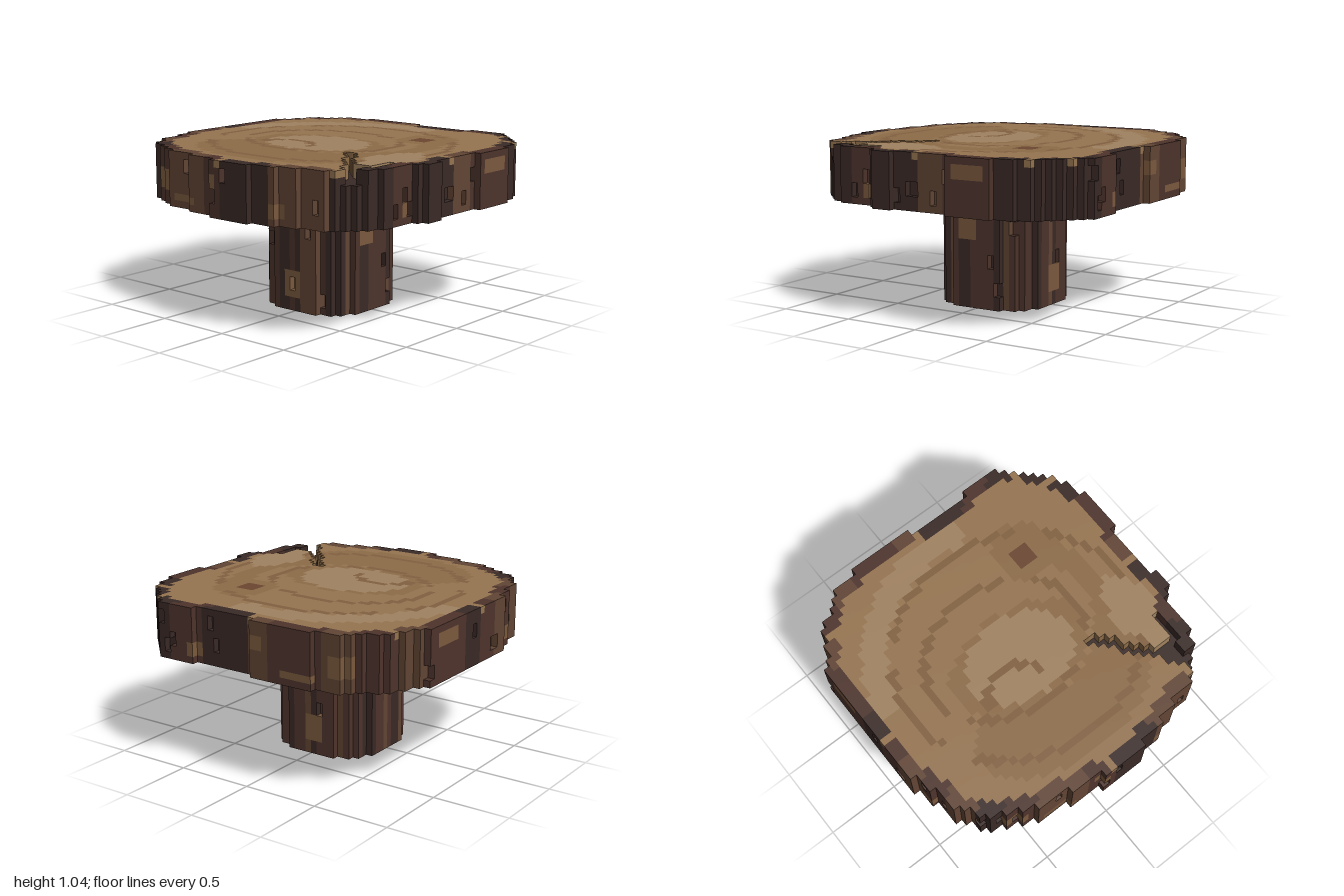
import * as THREE from 'three';

// Blocky log table on a 46 x 24 x 46 grid of cubes
const N = 46, H = 24, LEG = 16, S = 2 / N;
const COLORS = {
  darkBark: 0x3a2a26, midBark: 0x4e342c, lightBark: 0x624535, paleBark: 0x7c5a3e,
  wood: 0x967551, lightWood: 0xa08260, warmWood: 0x8d6c48, ringWood: 0x826140, knotWood: 0x6b4630,
};
const BARK = { D: 'darkBark', M: 'midBark', L: 'lightBark' };

// Slab outline as [row, cell] knots from back to front
const LEFT = [[0, 12], [1, 8], [5, 3], [8, 2], [10, 0], [29, 0], [30, 1], [36, 2], [40, 5], [43, 11], [45, 21]];
const RIGHT = [[0, 38], [4, 42], [6, 44], [12, 46], [17, 46], [18, 45], [26, 45], [27, 46], [29, 46],
  [31, 44], [36, 44], [40, 41], [42, 39], [45, 28]];

// Bark tones around the slab and the leg, from +x towards the front
const SLAB_BARK = 'DDMDDLLDDMLLMDLMLMDMMLMLMMLDDMDDDMML';
const LEG_BARK = 'MDMLDMLLDMDMMMDLDMLMDDMLMMDLMDMMLDMM';

// Bark patches: first cell, first height, width and height
const FRONT_PATCHES = [[0, 19, 2, 3], [7, 18, 3, 3], [12, 17, 5, 1], [20, 20, 2, 2], [31, 17, 2, 2], [21, 2, 3, 4], [15, 8, 2, 4]];
const SIDE_PATCHES = [[13, 17, 2, 2], [29, 21, 5, 2], [20, 10, 3, 4], [29, 10, 2, 4]];

// Wood grain: later areas win. centre x, z, radii, tone
const AREAS = [
  [0, 0.5, 0.62, 0.33, 'warmWood'], [0.5, 0, 0.2, 0.5, 'warmWood'], [-0.05, -0.03, 0.62, 0.46, 'wood'],
  [-0.02, 0.1, 0.48, 0.3, 'warmWood'], [-0.02, 0.1, 0.36, 0.27, 'lightWood'],
  [0.72, 0.3, 0.14, 0.28, 'lightWood'], [0.43, -0.44, 0.19, 0.2, 'warmWood'],
];
// Growth rings: centre x, z, radii, and the angles in degrees where they break
const RINGS = [
  { c: [0.02, 0.02], r: [0.79, 0.71], gaps: [[5, 35], [145, 160], [207, 222], [305, 318]] },
  { c: [-0.06, 0], r: [0.53, 0.41], gaps: [[35, 60], [150, 165], [300, 320]] },
  { c: [-0.16, 0.24], r: [0.19, 0.13], gaps: [[5, 180]] },
];
const CRACKS = [
  [[0.36, 0.28], [0.46, 0.32], [0.52, 0.44], [0.7, 0.62], [0.8, 0.78]],
  [[0.72, 0.64], [0.8, 0.56], [0.81, 0.42]],
];

const pos = (i) => (i + 0.5) * S - 1;
const hash = (a, b) => { const v = Math.sin(a * 127.1 + b * 311.7) * 43758.5453; return v - Math.floor(v); };
const degrees = (x, z) => (Math.atan2(z, x) * 180 / Math.PI + 360) % 360;

function edgeAt(knots, row) {
  const n = Math.max(1, knots.findIndex(([r]) => r >= row));
  const [r0, v0] = knots[n - 1], [r1, v1] = knots[n];
  return Math.round(v0 + (v1 - v0) * (row - r0) / (r1 - r0));
}
const rows = Array.from({ length: N }, (_, k) => [edgeAt(LEFT, k), edgeAt(RIGHT, k)]);
const inSlab = (i, k) => k >= 0 && k < N && i >= rows[k][0] && i < rows[k][1] && !(k === 0 && i >= 22 && i < 32);

// Leg: a 16-cell square with stepped round corners
function inLeg(i, k) {
  const a = Math.abs(i - 22.5), b = Math.abs(k - 22.5);
  return Math.max(a, b) < 8 && Math.hypot(Math.max(a - 2, 0), Math.max(b - 2, 0)) < 5.9;
}

// Crack: cells close to a polyline that widens at the rim
function inCrack(i, k) {
  const p = new THREE.Vector3(pos(i), 0, pos(k)), q = new THREE.Vector3();
  return CRACKS.some((path) => path.slice(1).some(([x, z], n) => {
    const [x0, z0] = path[n];
    new THREE.Line3(new THREE.Vector3(x0, 0, z0), new THREE.Vector3(x, 0, z)).closestPointToPoint(p, true, q);
    return q.distanceTo(p) < (q.x > 0.66 && q.z > 0.6 ? 0.055 : 0.026);
  }));
}
const crackMap = Array.from({ length: N * N }, (_, n) => inCrack(n % N, Math.floor(n / N)));

const isEdge = (inside, i, k, d) => !inside(i + d, k) || !inside(i - d, k) || !inside(i, k + d) || !inside(i, k - d);
const isRim = (inside, i, k) => isEdge(inside, i, k, 1) || isEdge(inside, i, k, 2)
  || [-1, 1].some((a) => !inside(i + a, k + 1) || !inside(i + a, k - 1));

// Small chips missing from the outermost bark
function isChip(inside, i, j, k) {
  const [base, span] = j >= LEG ? [LEG + 1, 5] : [1, 13];
  const start = base + Math.floor(hash(k, i + 9) * span);
  return isEdge(inside, i, k, 1) && hash(i, k) < 0.16 && j >= start && j < start + 2;
}

function solid(i, j, k) {
  if (j < 0 || j >= H) return false;
  const inside = j >= LEG ? inSlab : inLeg;
  if (!inside(i, k)) return false;
  if (j >= H - 2 && crackMap[k * N + i]) return false;
  return !isChip(inside, i, j, k);
}

function woodTone(i, k) {
  const x = pos(i), z = pos(k);
  if (Math.abs(x - 0.41) < 0.066 && Math.abs(z + 0.42) < 0.066) return 'knotWood';
  for (const { c, r, gaps } of RINGS) {
    const dx = (x - c[0]) / r[0], dz = (z - c[1]) / r[1], a = degrees(dx, dz);
    const on = Math.abs(Math.hypot(dx, dz) - 1) * Math.min(...r) < S * 0.48;
    if (on && !gaps.some(([a0, a1]) => a > a0 && a < a1)) return 'ringWood';
  }
  let tone = 'wood';
  const radius = Math.hypot(x / 0.92, z / 0.86), a = degrees(x, z);
  if (radius > 0.84 && radius < 1.02 && a > 185 && a < 285) tone = 'lightWood';
  for (const [cx, cz, rx, rz, t] of AREAS) if (Math.hypot((x - cx) / rx, (z - cz) / rz) < 1) tone = t;
  return tone;
}

// Bark: vertical bands, pale patches, and bare wood notches on the top edge
function barkTone(i, j, k, tones) {
  const x = pos(i), z = pos(k), frontal = Math.abs(z) > Math.abs(x);
  const u = frontal ? i : N - 1 - k;
  if (j === H - 1 && (u === 22 || u === 39)) return 'wood';
  const patches = frontal ? FRONT_PATCHES : SIDE_PATCHES;
  if (patches.some(([u0, y0, w, h]) => u >= u0 && u < u0 + w && j >= y0 && j < y0 + h)) return 'paleBark';
  return BARK[tones[Math.floor(degrees(x, z) / 10) % 36]];
}

function toneAt(i, j, k) {
  if (j < LEG) return j === 0 && !isRim(inLeg, i, k) ? 'darkBark' : barkTone(i, j, k, LEG_BARK);
  if (isRim(inSlab, i, k)) return barkTone(i, j, k, SLAB_BARK);
  return j === H - 3 && crackMap[k * N + i] ? 'darkBark' : woodTone(i, k);
}

// Emit only exposed cube faces, one mesh per tone
function buildPart(name, j0, j1) {
  const faces = {};
  for (let j = j0; j < j1; j++) for (let k = 0; k < N; k++) for (let i = 0; i < N; i++) {
    if (!solid(i, j, k)) continue;
    const tone = toneAt(i, j, k), c = [i, j, k];
    for (let axis = 0; axis < 3; axis++) for (const dir of [-1, 1]) {
      const n = [0, 0, 0];
      n[axis] = dir;
      if (solid(i + n[0], j + n[1], k + n[2])) continue;
      const u = (axis + 1) % 3, v = (axis + 2) % 3;
      const quad = [[0, 0], [1, 0], [1, 1], [0, 1]].map(([a, b]) => {
        const p = [...c];
        p[axis] += dir > 0 ? 1 : 0;
        p[u] += a;
        p[v] += b;
        return [p[0] * S - 1, p[1] * S, p[2] * S - 1];
      });
      const order = dir > 0 ? [0, 1, 2, 0, 2, 3] : [0, 2, 1, 0, 3, 2];
      (faces[tone] ??= []).push(...order.flatMap((q) => quad[q]));
    }
  }
  const group = new THREE.Group();
  group.name = name;
  for (const [tone, points] of Object.entries(faces)) {
    const geometry = new THREE.BufferGeometry();
    geometry.setAttribute('position', new THREE.Float32BufferAttribute(points, 3));
    geometry.computeVertexNormals();
    const mesh = new THREE.Mesh(geometry, new THREE.MeshStandardMaterial({ color: COLORS[tone] }));
    mesh.name = `${name} ${tone}`;
    group.add(mesh);
  }
  return group;
}

export function createModel() {
  const model = new THREE.Group();
  model.name = 'log table';
  model.add(buildPart('trunkLeg', 0, LEG), buildPart('slabTop', LEG, H));
  return model;
}
